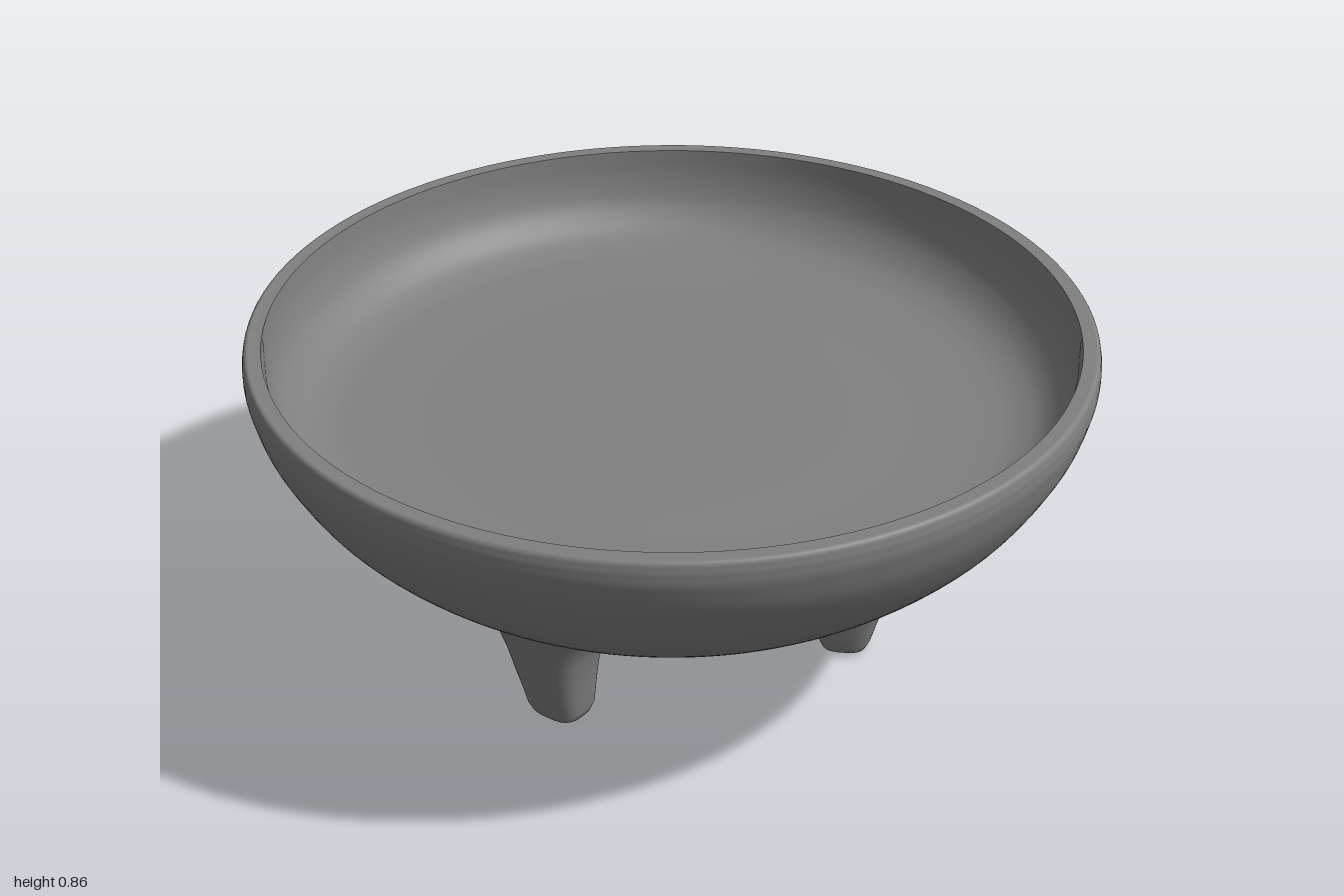
import * as THREE from 'three';

const material = new THREE.MeshStandardMaterial({ color: 0x808080 });

// Smooth surface of revolution through [radius, height] points
function revolve(name, points, divisions) {
  const curve = new THREE.SplineCurve(points.map(([r, y]) => new THREE.Vector2(r, y)));
  const profile = curve.getPoints(divisions);
  profile.forEach((p) => { p.x = Math.max(0, p.x); });
  const mesh = new THREE.Mesh(new THREE.LatheGeometry(profile, 128), material);
  mesh.name = name;
  return mesh;
}

// Height of the bowl's underside at a given radius
const underside = (r) => 0.26 + 0.28 * r * r;
const LEG_RADIUS = 0.43;

// Leg along +x, lofted from rounded cross-sections that bend to lie along the bowl.
// Each section: [height, inner radius, outer radius, half width, bend, corner power]
const SECTIONS = [
  [0, 0.39, 0.475, 0.052, 0, 3],
  [0.008, 0.376, 0.49, 0.067, 0, 3],
  [0.03, 0.367, 0.5, 0.076, 0, 3],
  [0.08, 0.364, 0.514, 0.082, 0, 3],
  [0.13, 0.362, 0.53, 0.09, 0.1, 3],
  [0.2, 0.359, 0.551, 0.104, 0.3, 2.9],
  [0.24, 0.354, 0.568, 0.12, 0.6, 2.8],
  [0.268, 0.343, 0.586, 0.14, 0.8, 2.6],
  [0.286, 0.328, 0.603, 0.16, 0.95, 2.4],
  [0.299, 0.305, 0.622, 0.185, 1, 2.3],
  [0.307, 0.28, 0.64, 0.21, 1, 2.2],
  [0.314, 0.25, 0.655, 0.235, 1, 2.1],
  [0.325, 0.22, 0.67, 0.255, 1, 2],
];

function legGeometry() {
  const sides = 48;
  const positions = [];
  const index = [];
  for (const [y, inner, outer, half, bend, power] of SECTIONS) {
    for (let i = 0; i < sides; i++) {
      const a = (i / sides) * Math.PI * 2;
      const c = Math.cos(a);
      const s = Math.sin(a);
      const x = (inner + outer) / 2 + ((outer - inner) / 2) * Math.sign(c) * Math.abs(c) ** (2 / power);
      const z = half * Math.sign(s) * Math.abs(s) ** (2 / power);
      const rise = underside(Math.hypot(x, z)) - underside(LEG_RADIUS);
      positions.push(x, y + bend * rise, z);
    }
  }
  for (let k = 0; k < SECTIONS.length - 1; k++) {
    for (let i = 0; i < sides; i++) {
      const a = k * sides + i;
      const b = k * sides + ((i + 1) % sides);
      index.push(a, a + sides, b, b, a + sides, b + sides);
    }
  }
  // Flat sole
  const centre = positions.length / 3;
  positions.push(LEG_RADIUS, 0, 0);
  for (let i = 0; i < sides; i++) index.push(centre, i, (i + 1) % sides);

  const geometry = new THREE.BufferGeometry();
  geometry.setAttribute('position', new THREE.Float32BufferAttribute(positions, 3));
  geometry.setIndex(index);
  geometry.computeVertexNormals();
  return geometry;
}

export function createModel() {
  const model = new THREE.Group();
  model.name = 'footedBowl';

  // Outer shell, rounding over into the flat lip
  model.add(revolve('bowlOuter', [
    ...[0, 0.2, 0.4, 0.58].map((r) => [r, underside(r)]),
    [0.74, 0.435], [0.88, 0.56], [0.965, 0.69], [0.996, 0.78], [1, 0.82],
    [0.998, 0.838], [0.995, 0.849], [0.988, 0.855], [0.975, 0.855], [0.955, 0.855],
  ], 104));

  // Shallow dish with a flat floor
  model.add(revolve('bowlInside', [
    [0.955, 0.855], [0.947, 0.785], [0.923, 0.717], [0.875, 0.665],
    [0.815, 0.64], [0.75, 0.632], [0.65, 0.63], [0.4, 0.63], [0, 0.63],
  ], 72));

  // Three legs, evenly spaced
  const geometry = legGeometry();
  for (let i = 0; i < 3; i++) {
    const leg = new THREE.Mesh(geometry, material);
    leg.name = `leg${i + 1}`;
    leg.rotation.y = (i * Math.PI * 2) / 3;
    model.add(leg);
  }
  return model;
}
